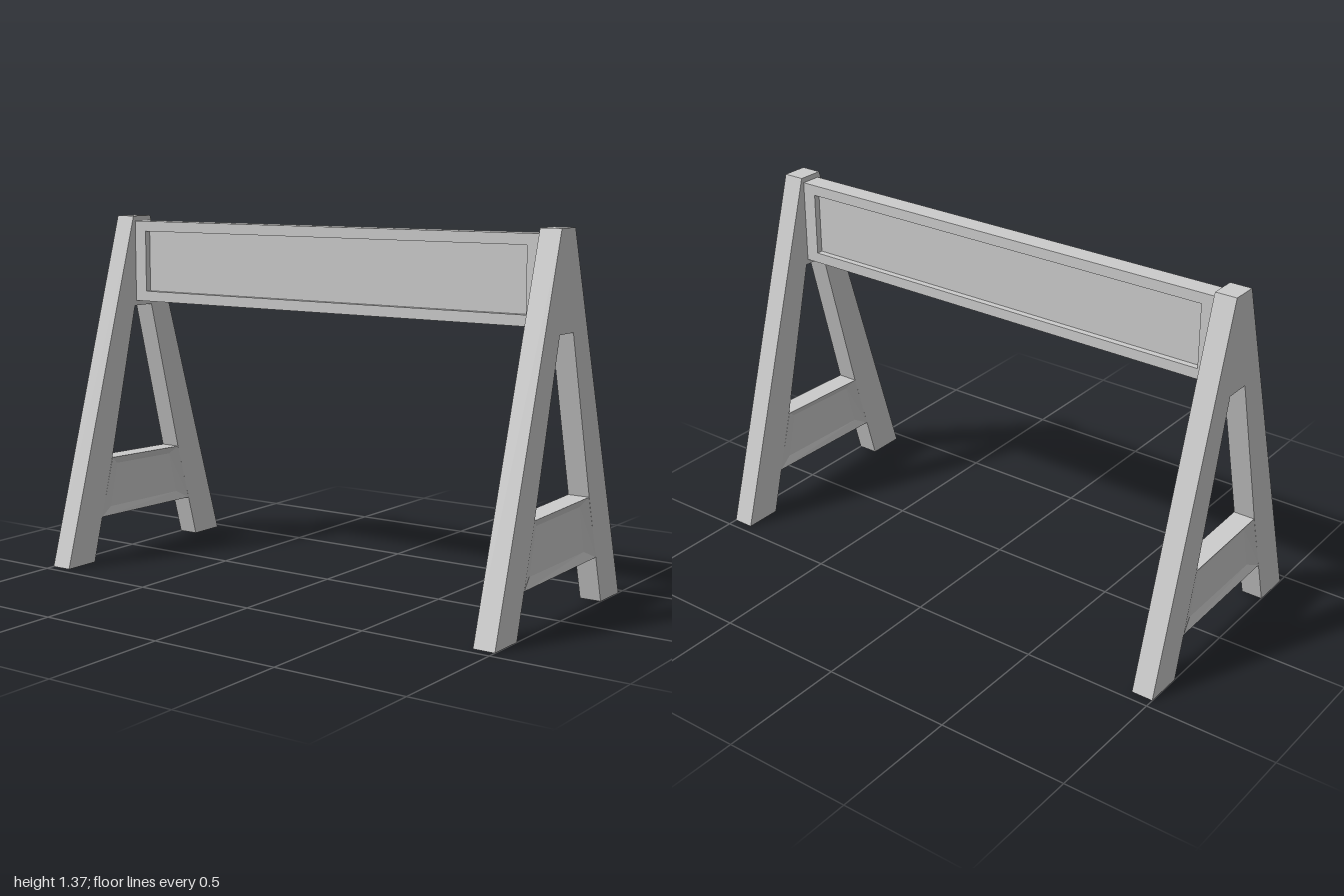
import * as THREE from 'three';

const material = new THREE.MeshStandardMaterial({ color: 0xcccccc, flatShading: true });

function part(name, geometry) {
  const mesh = new THREE.Mesh(geometry, material);
  mesh.name = name;
  return mesh;
}

const toPoints = (list) => list.map(([x, y]) => new THREE.Vector2(x, y));

// Cross panel with a shallow bevelled recess on both faces; corners are [z, y]
function crossPanelGeometry(halfWidth, recess) {
  const rim = [[0.27, 0.165], [-0.267, 0.175], [-0.2, 0.408], [0.205, 0.396]];
  const field = [[0.208, 0.2], [-0.2, 0.206], [-0.158, 0.378], [0.165, 0.369]];
  const loops = [
    [field, halfWidth - recess], [rim, halfWidth],
    [rim, -halfWidth], [field, -halfWidth + recess],
  ];
  const positions = loops.flatMap(([loop, x]) => loop.flatMap(([z, y]) => [x, y, z]));
  const index = [0, 1, 2, 0, 2, 3, 12, 14, 13, 12, 15, 14];
  for (let l = 0; l < 3; l++) {
    for (let i = 0; i < 4; i++) {
      const a = l * 4 + i, b = l * 4 + (i + 1) % 4;
      index.push(a, a + 4, b, b, a + 4, b + 4);
    }
  }
  const geometry = new THREE.BufferGeometry();
  geometry.setAttribute('position', new THREE.Float32BufferAttribute(positions, 3));
  geometry.setIndex(index);
  geometry.computeVertexNormals();
  return geometry;
}

// A-shaped end support, centred on x = 0
function createTrestle(name) {
  const width = 0.083;
  const trestle = new THREE.Group();
  trestle.name = name;

  const outline = new THREE.Shape(toPoints([
    [-0.463, 0], [-0.315, 0], [-0.268, 0.17], [-0.203, 0.402], [-0.05, 1.01],
    [0.05, 1.01], [0.203, 0.402], [0.268, 0.17], [0.315, 0], [0.463, 0],
    [0.05, 1.37], [-0.05, 1.37],
  ]));
  const legs = new THREE.ExtrudeGeometry(outline, { depth: width, bevelEnabled: false });
  legs.translate(0, 0, -width / 2).rotateY(Math.PI / 2);
  trestle.add(part('legs', legs));
  trestle.add(part('crossPanel', crossPanelGeometry(width / 2, 0.015)));
  return trestle;
}

// Horizontal board: raised frame around a recessed panel
function createBoard() {
  const board = new THREE.Group();
  board.name = 'board';
  const rectangle = (x, y0, y1) => toPoints([[-x, y0], [x, y0], [x, y1], [-x, y1]]);
  const frame = new THREE.Shape(rectangle(0.918, 1.03, 1.35));
  frame.holes.push(new THREE.Path(rectangle(0.863, 1.07, 1.31).reverse()));
  const frameGeometry = new THREE.ExtrudeGeometry(frame, { depth: 0.08, bevelEnabled: false });
  frameGeometry.translate(0, 0, -0.04);
  board.add(part('boardFrame', frameGeometry));

  const panel = part('boardPanel', new THREE.BoxGeometry(1.73, 0.244, 0.03));
  panel.position.y = 1.19;
  board.add(panel);
  return board;
}

export function createModel() {
  const barrier = new THREE.Group();
  barrier.name = 'barrier';

  // The two supports are half a turn apart
  const left = createTrestle('leftTrestle');
  left.position.x = 0.9585;
  const right = createTrestle('rightTrestle');
  right.position.x = -0.9585;
  right.rotation.y = Math.PI;

  barrier.add(left, right, createBoard());
  return barrier;
}
